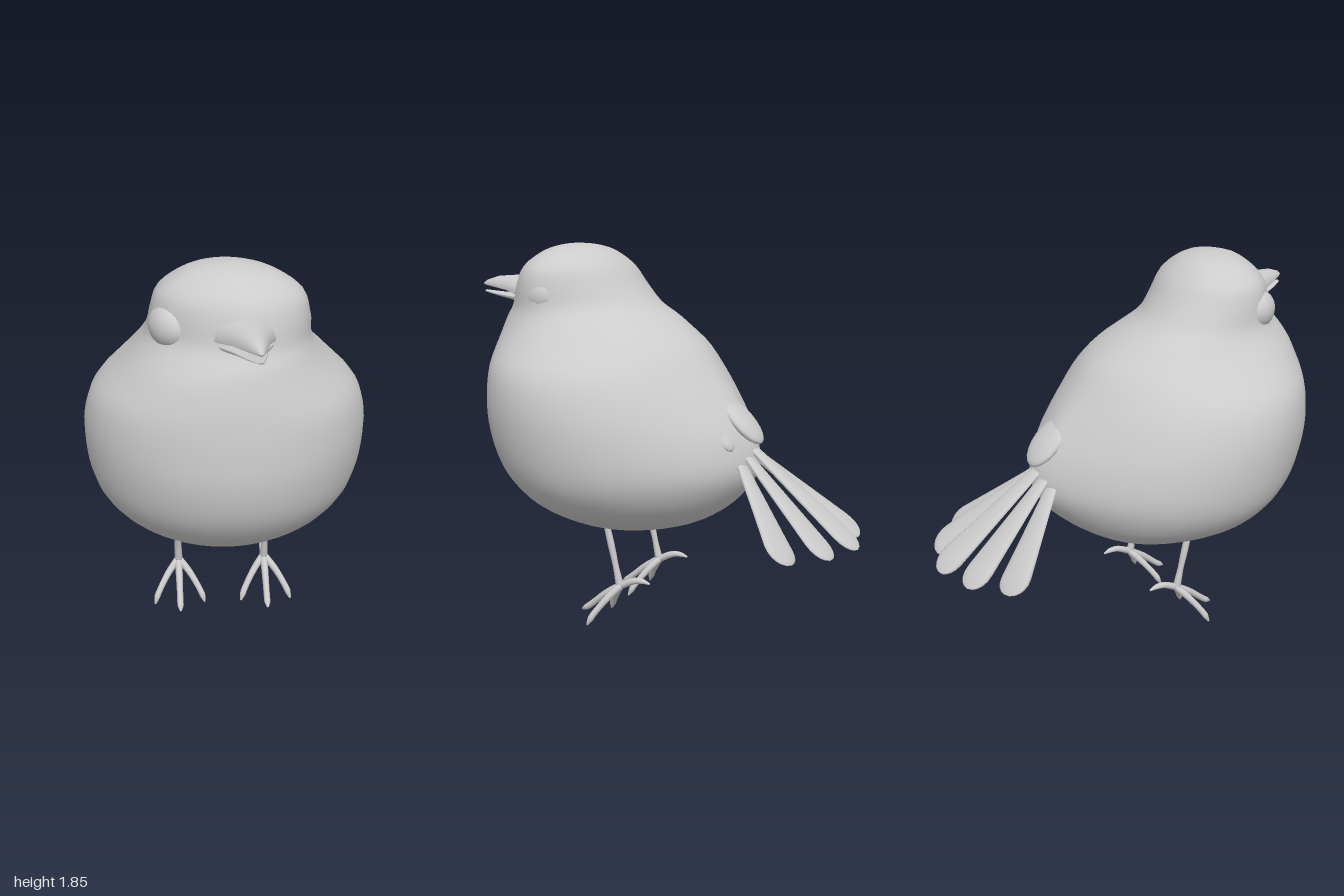
import * as THREE from 'three';

const V = (x, y, z) => new THREE.Vector3(x, y, z);
const material = new THREE.MeshStandardMaterial({ color: 0xcccccc });

function add(parent, name, geometry) {
  const mesh = new THREE.Mesh(geometry, material);
  mesh.name = name;
  parent.add(mesh);
  return mesh;
}

// Skin a list of closed rings, each with the same number of points
function skin(rings) {
  const n = rings[0].length, index = [];
  for (let r = 0; r < rings.length - 1; r++) {
    for (let i = 0; i < n; i++) {
      const j = (i + 1) % n, a = r * n + i, b = r * n + j;
      index.push(a, b, b + n, a, b + n, a + n);
    }
  }
  const geometry = new THREE.BufferGeometry().setFromPoints(rings.flat());
  geometry.setIndex(index);
  geometry.computeVertexNormals();
  return geometry;
}

// Elliptical ring around a centre; e1 x e2 points along the loft
function ring(centre, e1, e2, r1, r2, n) {
  return Array.from({ length: n }, (_, i) => {
    const a = (i / n) * Math.PI * 2;
    return centre.clone().addScaledVector(e1, r1 * Math.cos(a)).addScaledVector(e2, r2 * Math.sin(a));
  });
}

// Round limb along a smooth path, with a radius at each path point
function limb(points, radii) {
  const curve = new THREE.CatmullRomCurve3(points), steps = 14, rings = [];
  const frames = curve.computeFrenetFrames(steps);
  for (let s = 0; s <= steps; s++) {
    const f = (s / steps) * (radii.length - 1), k = Math.min(Math.floor(f), radii.length - 2);
    const r = THREE.MathUtils.lerp(radii[k], radii[k + 1], f - k);
    const d = frames.tangents[s], e1 = frames.normals[s], e2 = d.clone().cross(e1);
    const p = curve.getPoint(s / steps);
    if (s === 0) rings.push(ring(p, e1, e2, 0, 0, 8));
    rings.push(ring(p, e1, e2, r, r, 8));
    if (s === steps) rings.push(ring(p, e1, e2, 0, 0, 8));
  }
  return skin(rings);
}

// Head turns a little to the left
const headTurn = z => 0.16 * (z - 0.45);

// Body and head: height, half width, back z, front z, taper of the back
function bodyGeometry() {
  const keys = [
    [0.447, 0, 0.22, 0.22, 1], [0.47, 0.17, 0.03, 0.41, 1], [0.53, 0.33, -0.18, 0.57, 1],
    [0.62, 0.48, -0.33, 0.71, 1.1], [0.73, 0.575, -0.44, 0.815, 1.3], [0.85, 0.62, -0.5, 0.885, 1.45],
    [1.0, 0.637, -0.47, 0.92, 1.5], [1.14, 0.63, -0.38, 0.92, 1.4], [1.28, 0.585, -0.27, 0.905, 1.25],
    [1.4, 0.475, -0.17, 0.88, 1.1], [1.5, 0.385, -0.03, 0.845, 1], [1.57, 0.345, 0.09, 0.8, 1],
    [1.66, 0.33, 0.17, 0.775, 1], [1.75, 0.3, 0.235, 0.735, 1], [1.82, 0.2, 0.32, 0.65, 1],
    [1.85, 0.1, 0.4, 0.57, 1], [1.86, 0, 0.49, 0.49, 1],
  ];
  const outline = new THREE.CatmullRomCurve3(keys.map(k => V(k[1], k[0], k[4])), false, 'catmullrom');
  const depth = new THREE.CatmullRomCurve3(keys.map(k => V(k[2], k[3], 0)), false, 'catmullrom');
  const rings = [], rows = 48, n = 40;
  for (let r = 0; r <= rows; r++) {
    const o = outline.getPoint(r / rows), d = depth.getPoint(r / rows);
    const mid = d.x + (d.y - d.x) * 0.55;
    const head = THREE.MathUtils.smoothstep(o.y, 1.42, 1.62);
    rings.push(Array.from({ length: n }, (_, i) => {
      const a = (i / n) * Math.PI * 2, s = Math.sin(a), c = Math.cos(a);
      const power = c < 0 ? o.z : 1 + 0.3 * head;
      const z = mid + c * (c < 0 ? mid - d.x : d.y - mid);
      const rump = 0.05 * THREE.MathUtils.smoothstep(-z, 0.1, 0.5);
      const x = Math.sign(s) * Math.pow(Math.abs(s), power) * o.x;
      return V(x + head * headTurn(z) + rump, o.y, z);
    }));
  }
  return skin(rings);
}

// Half of the beak: stations of z, half width, lower y, upper y
function mandible(stations, flatTop) {
  const n = 16, rings = stations.map(([z, w, low, high]) =>
    Array.from({ length: n }, (_, i) => {
      const a = (i / n) * Math.PI * 2, s = Math.sin(a);
      const edge = flatTop ? high - 0.008 : low + 0.008;
      const y = edge + s * (s > 0 ? high - edge : edge - low);
      return V(headTurn(z) + w * Math.cos(a), y, z);
    }));
  const end = stations[stations.length - 1];
  const tip = V(headTurn(end[0]), (end[2] + end[3]) / 2, end[0]);
  rings.push(rings[0].map(() => tip.clone()));
  return skin(rings);
}

// Flat tail feather widening to a rounded end
function feather(base, tip) {
  const d = tip.clone().sub(base).normalize();
  const e1 = d.clone().cross(V(0, 0.77, -0.64)).normalize();
  const e2 = d.clone().cross(e1);
  const rings = [];
  for (const t of [0, 0.2, 0.4, 0.6, 0.75, 0.85, 0.9, 0.94, 0.97, 0.99, 1]) {
    const round = t > 0.85 ? Math.sqrt(Math.max(0, 1 - ((t - 0.85) / 0.15) ** 2)) : 1;
    rings.push(ring(base.clone().lerp(tip, t), e1, e2, (0.03 + 0.075 * t) * round, 0.014 * round, 12));
  }
  return skin(rings);
}

export function createModel() {
  const bird = new THREE.Group();
  bird.name = 'bird';
  add(bird, 'body', bodyGeometry());

  // Eyes: flattened balls facing outwards from the turned head
  for (const [name, pos, out, size] of [
    ['rightEye', V(-0.25, 1.615, 0.58), V(-0.84, 0, 0.54), [0.11, 0.09, 0.075]],
    ['leftEye', V(0.28, 1.615, 0.545), V(0.95, 0, 0.31), [0.11, 0.09, 0.065]],
  ]) {
    const eye = add(bird, name, new THREE.SphereGeometry(1, 24, 16));
    eye.scale.set(...size);
    eye.position.copy(pos);
    eye.lookAt(pos.clone().add(out));
  }

  // Slightly open beak
  const beak = new THREE.Group();
  beak.name = 'beak';
  bird.add(beak);
  add(beak, 'upperBeak', mandible([[0.7, 0.14, 1.6, 1.705], [0.77, 0.12, 1.605, 1.7], [0.83, 0.08, 1.617, 1.695],
    [0.92, 0.048, 1.63, 1.688], [0.98, 0.02, 1.638, 1.668], [1.0, 0.008, 1.642, 1.654]], false));
  add(beak, 'lowerBeak', mandible([[0.7, 0.13, 1.55, 1.6], [0.77, 0.11, 1.56, 1.6], [0.83, 0.072, 1.572, 1.602],
    [0.92, 0.042, 1.59, 1.61], [0.99, 0.012, 1.606, 1.618]], true));

  // Tail fan, middle feather on top
  const tail = new THREE.Group();
  tail.name = 'tail';
  bird.add(tail);
  [[-0.28, -0.82], [-0.12, -0.95], [0.09, -1], [0.285, -0.93], [0.43, -0.78]].forEach(([x, z], i) => {
    const k = i - 2;
    add(tail, 'tailFeather', feather(V(0.05 + 0.035 * k, 0.97 - 0.035 * Math.abs(k), -0.42), V(x, 0.525, z)));
  });

  // Short feathers covering the tail root
  for (const [x, y, z, w, len, turn] of [
    [0.055, 1.06, -0.415, 0.1, 0.14, 0], [-0.07, 1.03, -0.345, 0.065, 0.12, 0.3], [0.18, 1.03, -0.345, 0.065, 0.12, -0.3],
  ]) {
    const covert = add(tail, 'tailCovert', new THREE.SphereGeometry(1, 20, 12));
    covert.scale.set(w, 0.035, len);
    covert.position.set(x, y, z);
    covert.rotation.set(-0.8, turn, 0, 'YXZ');
  }

  // Legs with three front toes and one back toe
  for (const side of [-1, 1]) {
    const leg = new THREE.Group();
    leg.name = side < 0 ? 'rightLeg' : 'leftLeg';
    leg.position.x = side * 0.217;
    bird.add(leg);
    add(leg, 'shank', limb([V(0, 0.52, 0.235), V(0, 0.35, 0.195), V(0, 0.19, 0.16)], [0.016, 0.018, 0.015, 0.021]));
    for (const [x, y, z] of [[-0.125, 0.012, 0.28], [0, 0.035, 0.38], [0.125, 0.012, 0.28]]) {
      add(leg, 'frontToe', limb([V(0, 0.2, 0.155), V(x * 0.45, 0.14, 0.155 + (z - 0.155) * 0.4),
        V(x * 0.88, 0.055, 0.155 + (z - 0.155) * 0.85), V(x, y, z)], [0.019, 0.018, 0.016, 0.016, 0.005]));
    }
    add(leg, 'backToe', limb([V(0, 0.19, 0.17), V(0, 0.235, 0.08), V(0, 0.24, 0.035), V(0, 0.232, -0.005)],
      [0.019, 0.017, 0.014, 0.005]));
  }
  return bird;
}
